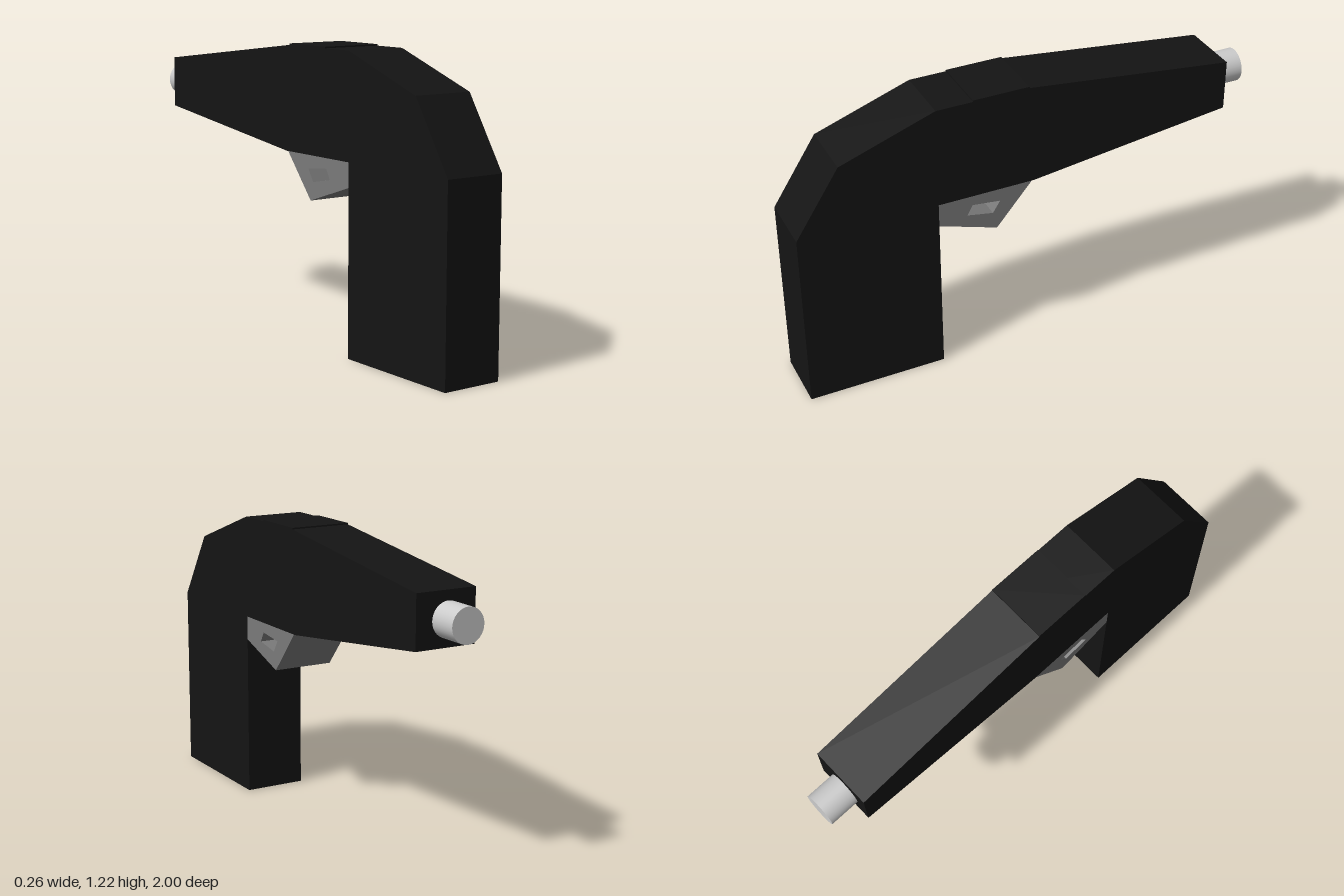
import * as THREE from 'three';

const WIDTH = 0.26;

// Flat shape from [z, y] points; the shape's x axis is -z
function outline(points, Type = THREE.Shape) {
  return new Type(points.map(([z, y]) => new THREE.Vector2(-z, y)));
}

// Side profile extruded across x, centred on x = 0
function slab(name, points, width, material, hole) {
  const shape = outline(points);
  if (hole) shape.holes.push(outline(hole, THREE.Path));
  const geometry = new THREE.ExtrudeGeometry(shape, { depth: width, bevelEnabled: false });
  geometry.translate(0, 0, -width / 2).rotateY(Math.PI / 2);
  const mesh = new THREE.Mesh(geometry, material);
  mesh.name = name;
  return mesh;
}

export function createModel() {
  const model = new THREE.Group();
  model.name = 'handTool';
  const black = new THREE.MeshStandardMaterial({ color: 0x141414 });
  const grey = new THREE.MeshStandardMaterial({ color: 0x7a7a7a });
  const light = new THREE.MeshStandardMaterial({ color: 0xcccccc });

  // Grip, rounded shoulder and tapering nose in one profile
  model.add(slab('body', [
    [1, 0], [1, 0.785], [0.815, 1.07], [0.415, 1.21], [0.02, 1.21],
    [-0.875, 1.105], [-0.875, 0.89], [0, 0.78], [0.415, 0.78], [0.415, 0],
  ], WIDTH, black));

  // Slightly raised plate on top
  model.add(slab('topPlate', [
    [0.26, 1.2], [0.26, 1.216], [0.02, 1.216], [0.02, 1.2],
  ], WIDTH, black));

  // Guard with a through opening
  model.add(slab('triggerGuard', [
    [0.415, 0.78], [0.415, 0.68], [0.165, 0.597], [0.01, 0.78],
  ], WIDTH, grey, [
    [0.27, 0.738], [0.15, 0.724], [0.182, 0.674], [0.294, 0.695],
  ]));

  // Round barrel tip
  const barrel = new THREE.Mesh(new THREE.CylinderGeometry(0.07, 0.07, 0.17, 32), light);
  barrel.name = 'barrel';
  barrel.rotation.x = Math.PI / 2;
  barrel.position.set(-0.01, 0.995, -0.915);
  model.add(barrel);

  return model;
}
